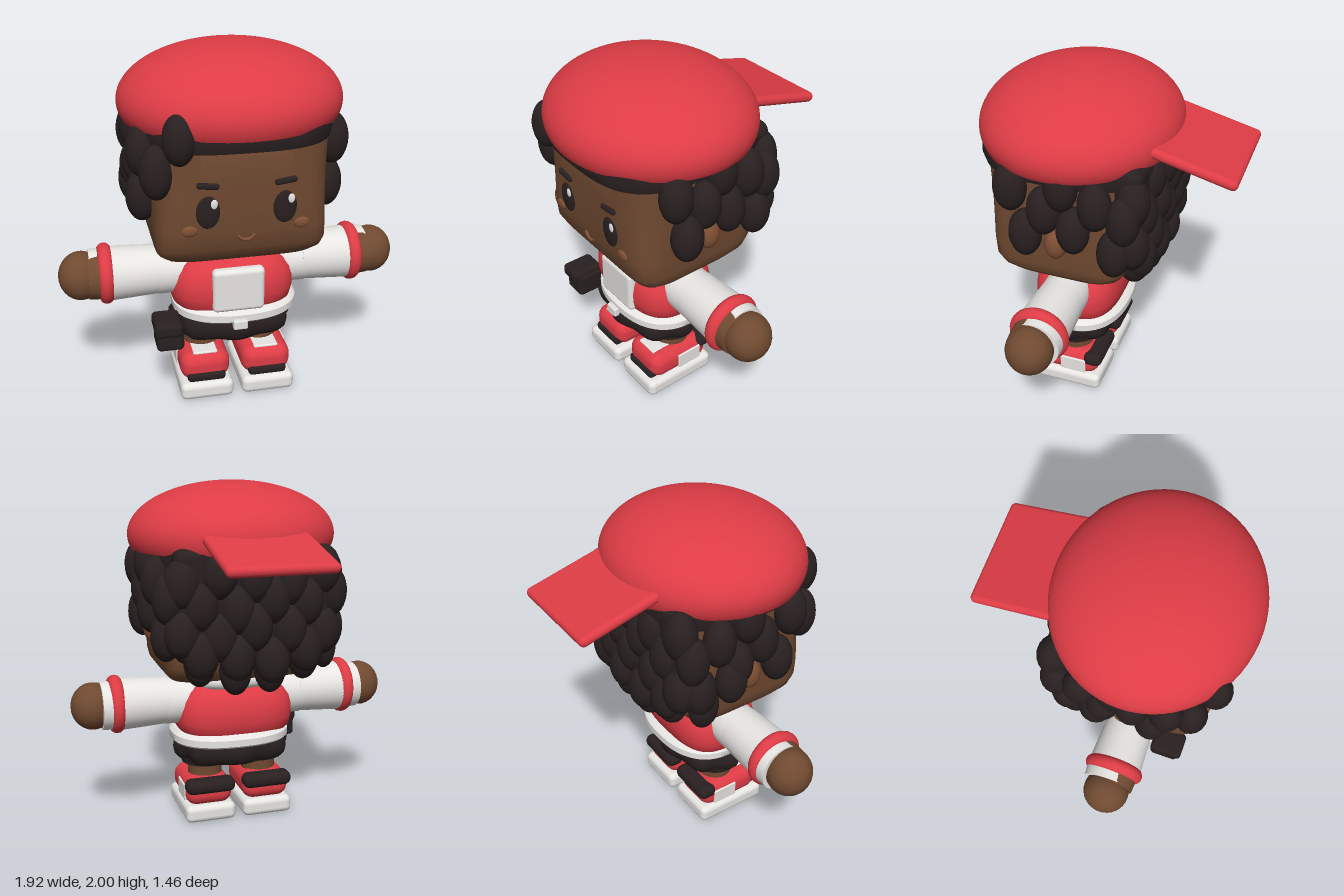
import * as THREE from 'three';
import { toCreasedNormals } from 'three/addons/utils/BufferGeometryUtils.js';
import { RoundedBoxGeometry } from 'three/addons/geometries/RoundedBoxGeometry.js';

const mat = (name, color) => {
  const m = new THREE.MeshStandardMaterial({ color });
  m.name = name;
  return m;
};
const red = mat('red', 0xde3c45);
const dark = mat('dark brown', 0x292020);
const skin = mat('skin', 0x704a31);
const blush = mat('blush', 0x7f4f34);
const white = mat('white', 0xe8e6e3);

const CZ = 0.19; // body axis

// Stacked superellipse sections [y, halfX, centreZ, halfZ, exponent], closed at both ends
function loft(sections, exponent = 2, wave = 0, lobes = 0) {
  const N = 80, pos = [], idx = [];
  const first = sections[0], last = sections[sections.length - 1];
  const rings = [[first[0], 0, first[2], 0], ...sections, [last[0], 0, last[2], 0]];
  rings.forEach(([y, hx, zc, hz, n = exponent]) => {
    for (let j = 0; j < N; j++) {
      const t = (j / N) * Math.PI * 2, c = Math.cos(t), s = Math.sin(t);
      const r = (1 + wave * Math.cos(lobes * t)) /
        Math.pow(Math.abs(c) ** n + Math.abs(s) ** n, 1 / n);
      pos.push(hx * r * c, y, zc + hz * r * s);
    }
  });
  for (let i = 0; i < rings.length - 1; i++) {
    for (let j = 0; j < N; j++) {
      const a = i * N + j, b = i * N + (j + 1) % N;
      if (i === 0) idx.push(a, a + N, b + N);
      else idx.push(a, a + N, b);
      if (i > 0 && i < rings.length - 2) idx.push(b, a + N, b + N);
    }
  }
  const g = new THREE.BufferGeometry();
  g.setAttribute('position', new THREE.Float32BufferAttribute(pos, 3));
  g.setIndex(idx);
  return toCreasedNormals(g, 0.75);
}

export function createModel() {
  const model = new THREE.Group();
  model.name = 'character';
  const add = (name, geo, m, x = 0, y = 0, z = 0, rx = 0, ry = 0, rz = 0) => {
    const mesh = new THREE.Mesh(geo, m);
    mesh.name = name;
    mesh.position.set(x, y, z);
    mesh.rotation.set(rx, ry, rz);
    model.add(mesh);
    return mesh;
  };
  const box = (w, h, d, r) => new RoundedBoxGeometry(w, h, d, 5, r);
  const ball = (a, b, c, seg = 24) => new THREE.SphereGeometry(1, seg, 16).scale(a, b, c);

  // Head with a square jaw, and neck
  add('head', loft([
    [0.9, 0.37, 0.19, 0.27, 5], [0.912, 0.42, 0.19, 0.32, 6], [0.95, 0.447, 0.19, 0.355, 8],
    [1.0, 0.455, 0.19, 0.382, 9], [1.1, 0.46, 0.19, 0.4, 7], [1.25, 0.462, 0.19, 0.406, 5.5],
    [1.4, 0.465, 0.19, 0.408], [1.62, 0.47, 0.19, 0.41], [1.72, 0.38, 0.19, 0.32],
  ], 5), skin);
  add('neck', new THREE.CylinderGeometry(0.15, 0.15, 0.14, 32), skin, 0, 0.87, CZ);

  // Face
  for (const s of [-1, 1]) {
    add('eye', ball(0.062, 0.088, 0.015), dark, s * 0.2, 1.225, 0.596);
    add('eyeGlint', ball(0.018, 0.026, 0.006), white, s * 0.2 + 0.03, 1.272, 0.608);
    add('eyebrow', box(0.115, 0.032, 0.03, 0.013), dark, s * 0.2, 1.368, 0.599, 0, 0, s * 0.12);
    add('cheek', ball(0.041, 0.03, 0.014), blush, s * 0.293, 1.125, 0.588);
    add('ear', ball(0.05, 0.085, 0.06), blush, s * 0.48, 1.18, 0.17);
  }
  const smile = new THREE.QuadraticBezierCurve3(
    new THREE.Vector3(-0.048, 1.085, 0.592), new THREE.Vector3(0, 1.03, 0.598),
    new THREE.Vector3(0.048, 1.085, 0.592));
  add('mouth', new THREE.TubeGeometry(smile, 16, 0.009, 8), blush);

  // Hair base under the cap and down the back
  add('hairBand', loft([
    [1.55, 0.5, 0.18, 0.485], [1.6, 0.51, 0.18, 0.5], [1.66, 0.5, 0.18, 0.49],
  ], 3), dark);
  add('backHair', box(0.88, 0.62, 0.16, 0.06), dark, 0, 1.36, -0.2);

  // Curls
  const curl = (x, y, z, a = 0.09, b = 0.14, c = 0.09) =>
    add('hairCurl', ball(a, b, c, 18), dark, x, y, z);
  const sideCurls = [[0.4, 1.51], [0.33, 1.24], [0.22, 1.4], [0.12, 1.56], [0.06, 1.31],
    [-0.06, 1.48], [-0.15, 1.19], [-0.2, 1.4]];
  for (const s of [-1, 1])
    sideCurls.forEach(([z, y]) => curl(s * (z < -0.1 ? 0.47 : 0.5), y, z, 0.085));
  for (let row = 0; row < 4; row++) {
    const count = 5 - row % 2;
    for (let i = 0; i < count; i++) {
      const x = (i - (count - 1) / 2) * 0.2;
      curl(x, 1.53 - row * 0.145 - 0.025 * ((i * 2 + row) % 3), -0.26 + 0.18 * x * x, 0.1);
    }
  }
  [-0.1, 0.1].forEach((x) => curl(x, 0.99, -0.22));
  [-0.3, 0.3].forEach((x) => curl(x, 1.05, -0.21));
  curl(-0.34, 1.62, 0.6, 0.085, 0.135, 0.085);
  curl(-0.445, 1.43, 0.52, 0.088, 0.145, 0.085);
  curl(-0.51, 1.22, 0.02, 0.08);
  curl(-0.46, 1.08, -0.12, 0.07);

  // Cap worn backwards
  add('capDome', new THREE.SphereGeometry(1, 64, 32, 0, Math.PI * 2, 0, 1.84)
    .scale(0.597, 0.3, 0.545), red, 0, 1.7, 0.183);
  add('capUnderside', new THREE.CircleGeometry(1, 64).scale(0.576, 0.525, 1),
    red, 0, 1.621, 0.183, Math.PI / 2);
  add('capBrim', box(0.595, 0.058, 0.5, 0.028), red, 0, 1.662, -0.487, -0.25);

  // Torso
  add('torso', loft([
    [0.5, 0.28, 0.185, 0.2], [0.56, 0.338, 0.185, 0.24], [0.62, 0.351, 0.185, 0.254],
    [0.68, 0.35, 0.185, 0.253], [0.74, 0.336, 0.185, 0.242], [0.79, 0.302, 0.185, 0.215],
    [0.83, 0.25, 0.185, 0.17], [0.85, 0.18, 0.185, 0.12],
  ], 3), red);
  add('frontPanel', box(0.29, 0.255, 0.07, 0.028), white, 0, 0.678, 0.42);
  add('collar', new THREE.TorusGeometry(0.15, 0.045, 16, 48).scale(1.25, 1, 1), white,
    0, 0.84, 0.132, Math.PI / 2 + 0.18);

  // Arms
  for (const s of [-1, 1]) {
    const turn = -s * Math.PI / 2;
    add('sleeve', new THREE.CylinderGeometry(0.152, 0.137, 0.28, 40), white,
      s * 0.54, 0.73, CZ, 0, 0, turn);
    add('shoulder', new THREE.CylinderGeometry(0.137, 0.135, 0.24, 40), white,
      s * 0.3, 0.725, CZ, 0, 0, turn);
    add('sleeveEnd', new THREE.CylinderGeometry(0.138, 0.146, 0.12, 40), white,
      s * 0.73, 0.73, CZ - 0.01, 0, 0, turn);
    add('cuff', new THREE.TorusGeometry(0.129, 0.041, 16, 48), red,
      s * 0.703, 0.732, CZ, 0, Math.PI / 2);
    add('wrist', new THREE.CylinderGeometry(0.13, 0.14, 0.11, 40), skin,
      s * 0.745, 0.73, CZ + 0.008, 0, 0, turn);
    add('hand', ball(0.125, 0.137, 0.13, 32), skin, s * 0.835, 0.732, CZ);
  }

  // Belt, pouch and ruffled shorts
  add('belt', loft([
    [0.483, 0.345, 0.185, 0.27], [0.495, 0.356, 0.185, 0.283],
    [0.535, 0.356, 0.185, 0.283], [0.555, 0.335, 0.185, 0.26],
  ], 2.4), white, 0.02);
  add('buckle', box(0.08, 0.055, 0.04, 0.008), white, 0, 0.487, 0.475);
  add('pouch', box(0.15, 0.15, 0.17, 0.025), dark, -0.39, 0.45, 0.42);
  add('pouchFlap', box(0.15, 0.08, 0.19, 0.025), dark, -0.4, 0.51, 0.43);
  add('shorts', loft([
    [0.345, 0.28, 0.2, 0.19], [0.36, 0.31, 0.2, 0.225], [0.39, 0.335, 0.2, 0.25],
    [0.43, 0.343, 0.2, 0.26], [0.47, 0.338, 0.2, 0.257], [0.5, 0.315, 0.2, 0.24],
    [0.52, 0.29, 0.2, 0.22],
  ], 2.4, 0.055, 8), dark);

  // Legs and shoes
  for (const s of [-1, 1]) {
    const x = s * 0.177;
    add('leg', new THREE.CylinderGeometry(0.103, 0.103, 0.2, 32), skin, s * 0.17, 0.29, CZ);
    add('shortsLeg', new THREE.CylinderGeometry(0.15, 0.14, 0.06, 32), dark, s * 0.17, 0.365, CZ);
    add('sole', box(0.305, 0.105, 0.455, 0.035), white, x, 0.0525, 0.227);
    add('shoe', box(0.285, 0.17, 0.395, 0.07), red, x, 0.178, 0.217);
    add('toeStrip', box(0.22, 0.055, 0.08, 0.024), dark, x, 0.128, 0.39);
    add('tongue', box(0.14, 0.022, 0.13, 0.008), white, x, 0.256, 0.31);
    add('sidePatch', box(0.015, 0.095, 0.16, 0.006), white, x + s * 0.141, 0.17, 0.165);
    add('heelStrap', box(0.3, 0.085, 0.115, 0.04), dark, x, 0.22, 0.047);
  }
  return model;
}
